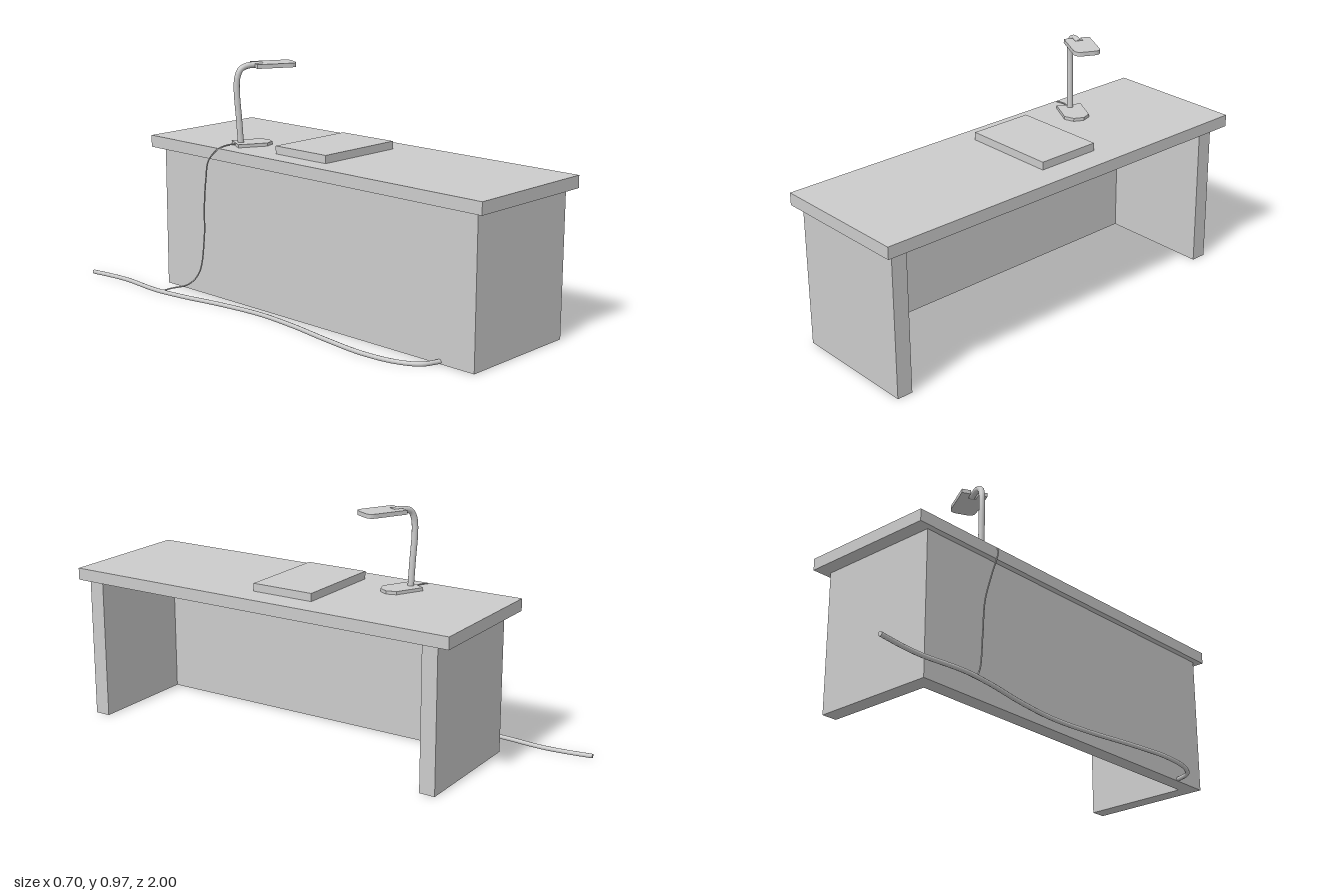
import * as THREE from 'three';

const material = new THREE.MeshStandardMaterial({ color: 0xcccccc });
const LAMP_TURN = THREE.MathUtils.degToRad(28);

export function createModel() {
  const model = new THREE.Group();
  model.name = 'deskWithLamp';

  const add = (name, geometry, parent = model) => {
    const mesh = new THREE.Mesh(geometry, material);
    mesh.name = name;
    parent.add(mesh);
    return mesh;
  };

  // Box given by its limits on each axis
  const box = (name, x0, x1, y0, y1, z0, z1) => {
    const mesh = add(name, new THREE.BoxGeometry(x1 - x0, y1 - y0, z1 - z0));
    mesh.position.set((x0 + x1) / 2, (y0 + y1) / 2, (z0 + z1) / 2);
  };

  // Capped round tube through a list of points
  const tube = (name, points, radius, segments, sides, parent = model) => {
    const path = new THREE.CatmullRomCurve3(points.map(p => new THREE.Vector3(...p)), false, 'centripetal');
    add(name, new THREE.TubeGeometry(path, segments, radius, sides), parent);
    for (const t of [0, 1]) {
      const cap = add(name + 'End', new THREE.CircleGeometry(radius, sides), parent);
      const out = path.getTangent(t).multiplyScalar(t ? 1 : -1);
      cap.position.copy(path.getPoint(t));
      cap.quaternion.setFromUnitVectors(new THREE.Vector3(0, 0, 1), out);
    }
  };

  // Desk: top, two end panels and the long closing panel
  box('deskTop', -0.23, 0.35, 0.583, 0.632, -0.725, 1.0);
  box('endPanelFront', -0.205, 0.32, 0, 0.583, 0.9, 0.965);
  box('endPanelBack', -0.205, 0.32, 0, 0.583, -0.665, -0.6);
  box('longPanel', -0.205, -0.14, 0, 0.583, -0.6, 0.9);
  box('closedLaptop', -0.146, 0.243, 0.632, 0.664, -0.075, 0.193);

  // Lamp: flat plates starting at the middle of their rear edge
  const lamp = new THREE.Group();
  lamp.name = 'lamp';
  model.add(lamp);

  const plate = (name, length, width, corner, round, notch, height, x, y, z) => {
    const h = width / 2;
    const s = new THREE.Shape();
    s.moveTo(0, -h);
    s.lineTo(length - corner, -h);
    if (round) s.quadraticCurveTo(length, -h, length, -h + corner);
    else s.lineTo(length, -h + corner);
    s.lineTo(length, h - corner);
    if (round) s.quadraticCurveTo(length, h, length - corner, h);
    else s.lineTo(length - corner, h);
    s.lineTo(0, h);
    if (notch) {
      s.lineTo(0, 0.016);
      s.lineTo(notch, 0.016);
      s.lineTo(notch, -0.016);
      s.lineTo(0, -0.016);
    }
    s.closePath();
    const geometry = new THREE.ExtrudeGeometry(s, { depth: height, bevelEnabled: false, curveSegments: 5 });
    geometry.rotateX(Math.PI / 2);
    const mesh = add(name, geometry, lamp);
    mesh.position.set(x, y + height, z);
    mesh.rotation.y = -LAMP_TURN;
  };

  plate('lampBase', 0.15, 0.102, 0.03, false, 0, 0.013, -0.143, 0.632, -0.31);
  plate('lampHead', 0.168, 0.106, 0.03, true, 0.035, 0.017, -0.067, 0.945, -0.277);

  tube('lampStem', [
    [-0.122, 0.64, -0.298], [-0.128, 0.74, -0.301], [-0.134, 0.86, -0.306],
    [-0.131, 0.91, -0.304], [-0.118, 0.94, -0.298], [-0.09, 0.953, -0.287], [-0.035, 0.954, -0.26],
  ], 0.0125, 40, 12, lamp);

  // Thin lead from the lamp base down to the floor cable
  tube('lampLead', [
    [-0.14, 0.639, -0.305], [-0.18, 0.639, -0.315], [-0.228, 0.628, -0.32],
    [-0.255, 0.585, -0.345], [-0.25, 0.5, -0.37], [-0.238, 0.38, -0.395],
    [-0.235, 0.25, -0.402], [-0.245, 0.1, -0.425], [-0.265, 0.045, -0.47],
    [-0.305, 0.022, -0.535], [-0.333, 0.012, -0.56],
  ], 0.003, 90, 8);

  // Thick cable lying on the floor, ending at the long panel
  const floorPath = [
    [-0.342, -1.0], [-0.325, -0.88], [-0.32, -0.79], [-0.334, -0.6], [-0.32, -0.45],
    [-0.285, -0.25], [-0.266, -0.05], [-0.28, 0.15], [-0.31, 0.35], [-0.33, 0.55],
    [-0.313, 0.7], [-0.27, 0.78], [-0.2, 0.81],
  ];
  tube('floorCable', floorPath.map(([x, z]) => [x, 0.009, z]), 0.009, 120, 10);

  return model;
}
